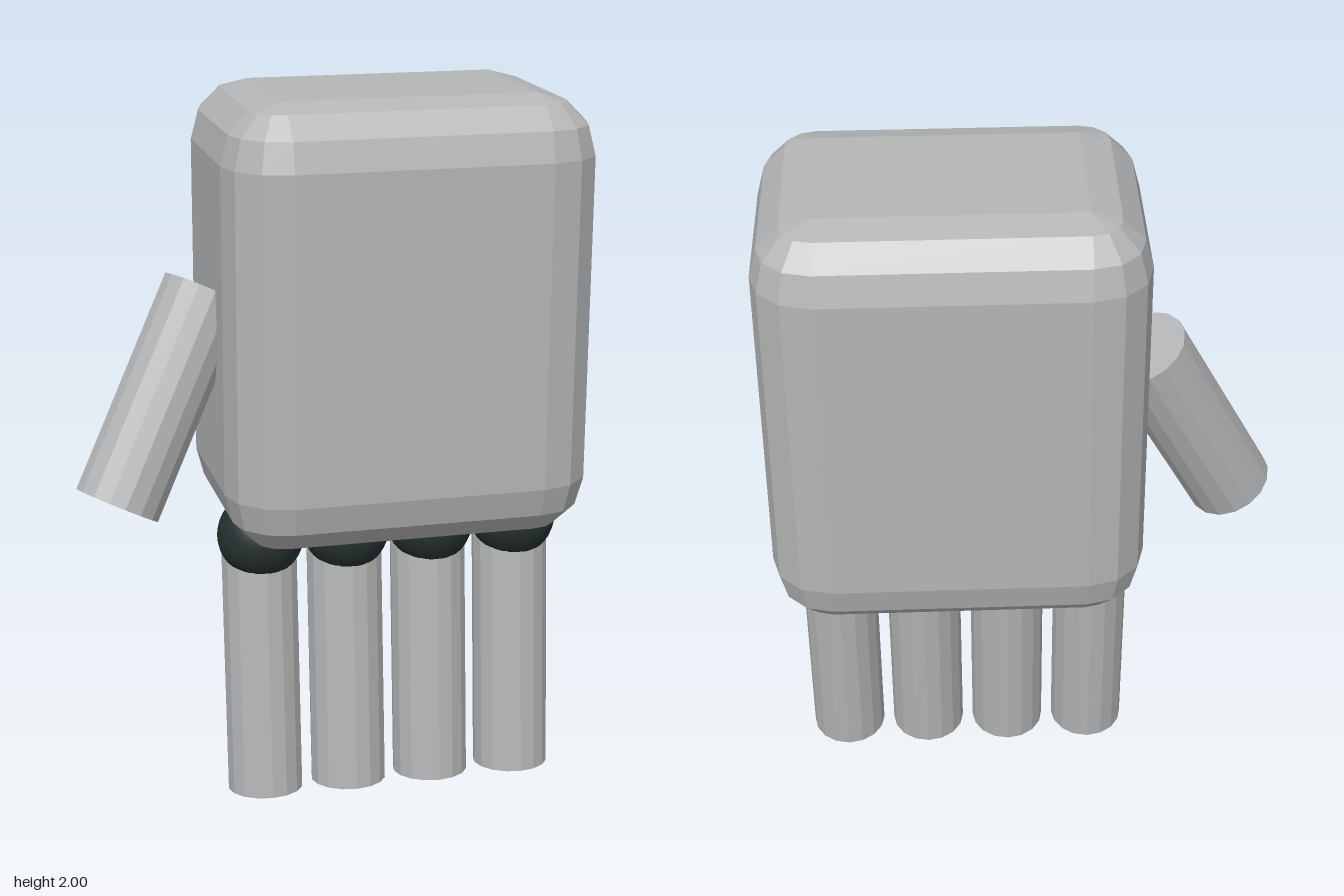
import * as THREE from 'three';

const shell = new THREE.MeshStandardMaterial({ color: 0xb4b5b6, flatShading: true });
shell.name = 'light grey';
const joint = new THREE.MeshStandardMaterial({ color: 0x263030 });
joint.name = 'dark slate';

// Box with faceted round edges, built from stacked rounded-rectangle rings
function roundedBlock(w, h, d, r, steps) {
  const pos = [], index = [];
  const n = 4 * (steps + 1);
  const corners = [[1, 1], [-1, 1], [-1, -1], [1, -1]];
  const rings = 2 * (steps + 1);
  for (let j = 0; j < rings; j++) {
    const upper = j > steps;
    const lat = ((upper ? j - steps - 1 : j - steps) / steps) * Math.PI / 2;
    const y = (upper ? 1 : -1) * (h / 2 - r) + r * Math.sin(lat);
    corners.forEach(([sx, sz], c) => {
      for (let k = 0; k <= steps; k++) {
        const a = (c + k / steps) * Math.PI / 2;
        pos.push(
          sx * (w / 2 - r) + r * Math.cos(lat) * Math.cos(a), y,
          sz * (d / 2 - r) + r * Math.cos(lat) * Math.sin(a));
      }
    });
  }
  for (let j = 0; j < rings - 1; j++) {
    for (let i = 0; i < n; i++) {
      const a = j * n + i, b = j * n + (i + 1) % n;
      index.push(a, a + n, b, b, a + n, b + n);
    }
  }
  // flat bottom and top
  const top = (rings - 1) * n;
  for (let i = 1; i < n - 1; i++) {
    index.push(0, i, i + 1, top, top + i + 1, top + i);
  }
  const geo = new THREE.BufferGeometry();
  geo.setAttribute('position', new THREE.Float32BufferAttribute(pos, 3));
  geo.setIndex(index);
  geo.computeVertexNormals();
  return geo;
}

// Capped cylinder running between two points
function rod(name, from, to, radius) {
  const a = new THREE.Vector3(...from), b = new THREE.Vector3(...to);
  const dir = b.clone().sub(a);
  const mesh = new THREE.Mesh(new THREE.CylinderGeometry(radius, radius, dir.length(), 16), shell);
  mesh.name = name;
  mesh.position.copy(a).add(b).multiplyScalar(0.5);
  mesh.quaternion.setFromUnitVectors(new THREE.Vector3(0, 1, 0), dir.normalize());
  return mesh;
}

export function createModel() {
  const hand = new THREE.Group();
  hand.name = 'hand';

  // Palm block
  const palm = new THREE.Mesh(roundedBlock(1.025, 1.23, 0.755, 0.163, 3), shell);
  palm.name = 'palm';
  palm.position.set(0.197, 1.385, 0);
  hand.add(palm);

  // Four fingers leaning forward, each with a ball knuckle
  const ball = new THREE.SphereGeometry(0.122, 32, 20);
  for (let i = 0; i < 4; i++) {
    const x = -0.193 + i * 0.247;
    const finger = new THREE.Group();
    finger.name = 'finger' + (i + 1);
    finger.add(rod('fingerRod', [x, 0.01, 0.14], [x, 0.757, 0.072], 0.108));
    const knuckle = new THREE.Mesh(ball, joint);
    knuckle.name = 'knuckle';
    knuckle.position.set(x, 0.768, 0.1);
    finger.add(knuckle);
    hand.add(finger);
  }

  // Thumb splayed out to the side
  hand.add(rod('thumb', [-0.6, 0.9, 0.135], [-0.32, 1.457, 0], 0.122));
  return hand;
}
